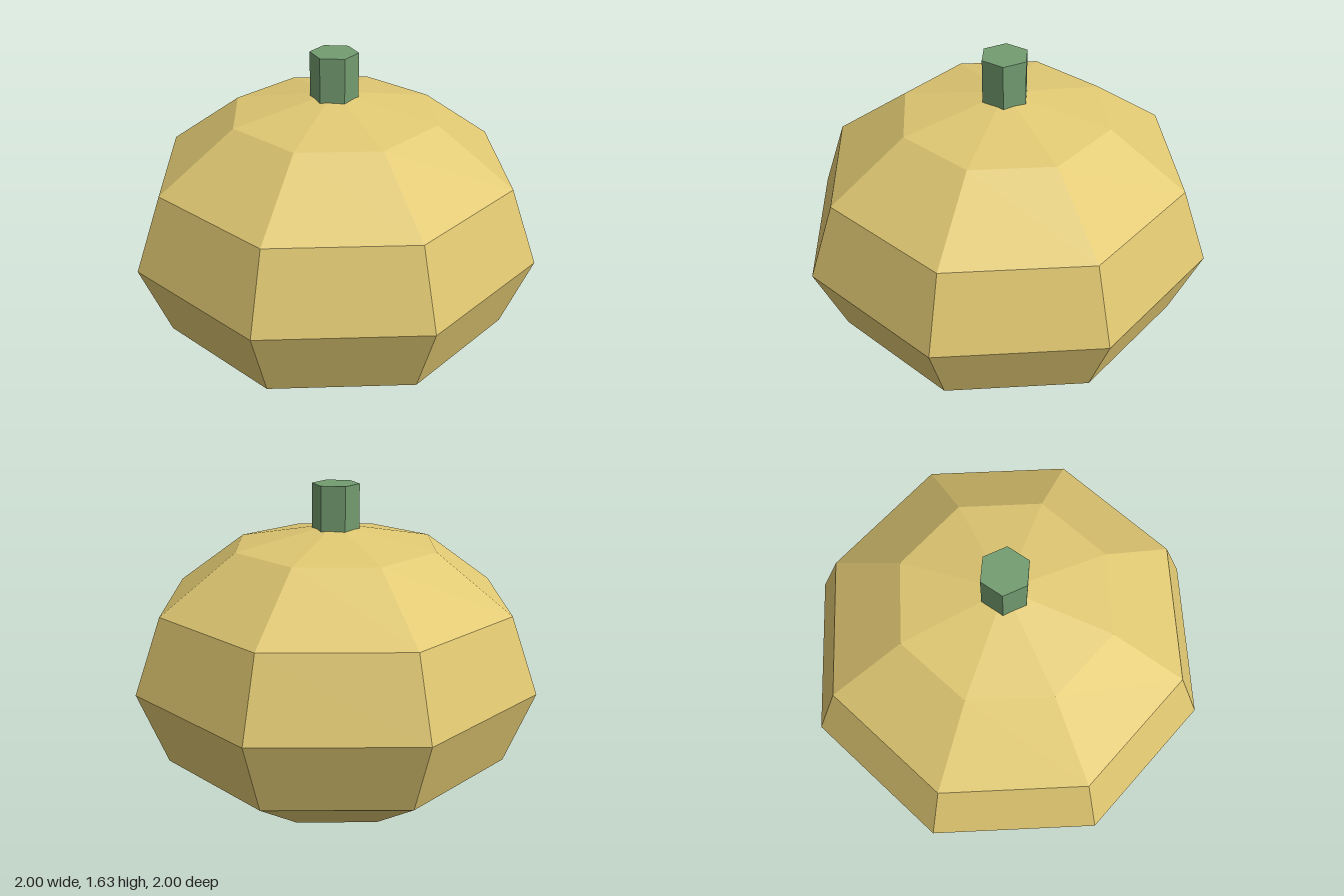
import * as THREE from 'three';

export function createModel() {
  const group = new THREE.Group();
  group.name = 'gourd';

  const rind = new THREE.MeshStandardMaterial({ color: 0xe0c872, flatShading: true });
  rind.name = 'pale yellow rind';
  const stemGreen = new THREE.MeshStandardMaterial({ color: 0x739c70, flatShading: true });
  stemGreen.name = 'stem green';

  // Faceted, squashed body resting on its bottom point
  const squash = 0.722;
  const bodyGeometry = new THREE.SphereGeometry(1, 8, 6);
  bodyGeometry.scale(1, squash, 1);
  bodyGeometry.translate(0, squash, 0);
  const body = new THREE.Mesh(bodyGeometry, rind);
  body.name = 'body';
  group.add(body);

  // Hexagonal stem, sunk a little into the body
  const stemTop = 1.633;
  const stemHeight = 0.25;
  const stem = new THREE.Mesh(new THREE.CylinderGeometry(0.113, 0.113, stemHeight, 6), stemGreen);
  stem.position.y = stemTop - stemHeight / 2;
  stem.name = 'stem';
  group.add(stem);

  return group;
}
